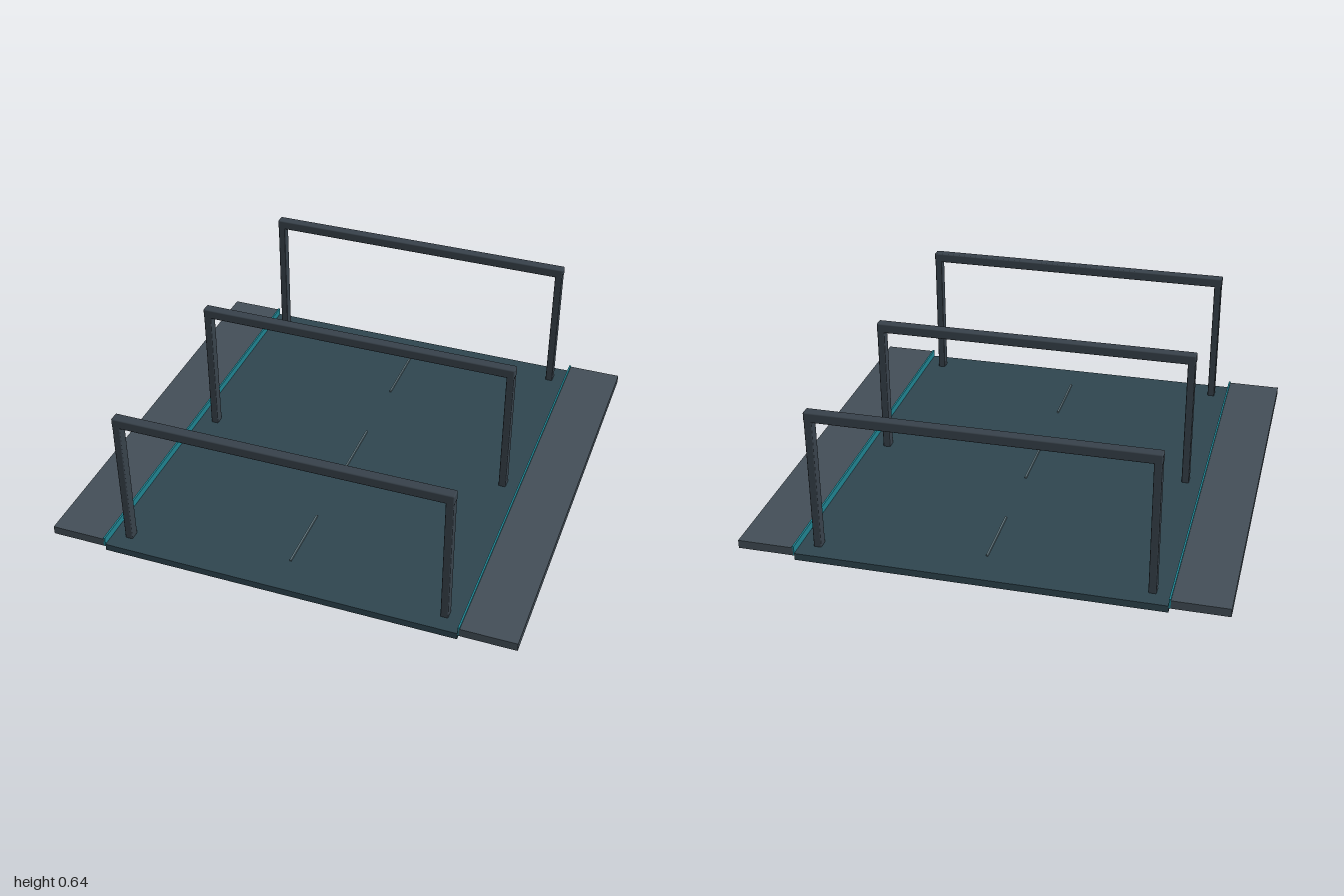
import * as THREE from 'three';
import { RoundedBoxGeometry } from 'three/addons/geometries/RoundedBoxGeometry.js';

const mat = (color) => new THREE.MeshStandardMaterial({ color });

// Box given by its extents on each axis; bevel > 0 chamfers the edges
function box(parent, name, material, [x0, x1], [y0, y1], [z0, z1], bevel = 0) {
  const size = [x1 - x0, y1 - y0, z1 - z0];
  const geometry = bevel
    ? new RoundedBoxGeometry(...size, 2, bevel)
    : new THREE.BoxGeometry(...size);
  const mesh = new THREE.Mesh(geometry, material);
  mesh.name = name;
  mesh.position.set((x0 + x1) / 2, (y0 + y1) / 2, (z0 + z1) / 2);
  parent.add(mesh);
  return mesh;
}

export function createModel() {
  const model = new THREE.Group();
  model.name = 'archedRoadway';

  const deckMat = mat(0x2f4650);
  const walkMat = mat(0x444f58);
  const frameMat = mat(0x38424b);
  const edgeMat = mat(0x1f8290);
  const markMat = mat(0x5f747c);
  const length = [-0.95, 0.95];

  // Central deck
  box(model, 'deck', deckMat, [-0.76, 0.76], [0, 0.03], length);

  // Raised side walks with thin edge strips
  for (const s of [1, -1]) {
    const side = s > 0 ? 'left' : 'right';
    const span = (a, b) => (s > 0 ? [a, b] : [-b, -a]);
    box(model, side + 'Walk', walkMat, span(0.765, 1), [0.02, 0.056], length);
    box(model, side + 'EdgeStrip', edgeMat, span(0.76, 0.768), [0.02, 0.062], length);
  }

  // Dashed centre line
  for (const z of [-0.635, 0, 0.635]) {
    box(model, 'centreMark', markMat, [-0.004, 0.004], [0.028, 0.037], [z - 0.15, z + 0.15]);
  }

  // Three portal frames: two posts and a cross beam
  for (const z of [-0.86, 0, 0.86]) {
    const frame = new THREE.Group();
    frame.name = 'portalFrame';
    frame.position.z = z;
    const depth = [-0.022, 0.022];
    for (const x of [-0.686, 0.686]) {
      box(frame, 'post', frameMat, [x - 0.016, x + 0.016], [0.028, 0.61], depth, 0.004);
    }
    box(frame, 'crossBeam', frameMat, [-0.704, 0.704], [0.6, 0.643], depth, 0.006);
    model.add(frame);
  }

  return model;
}
